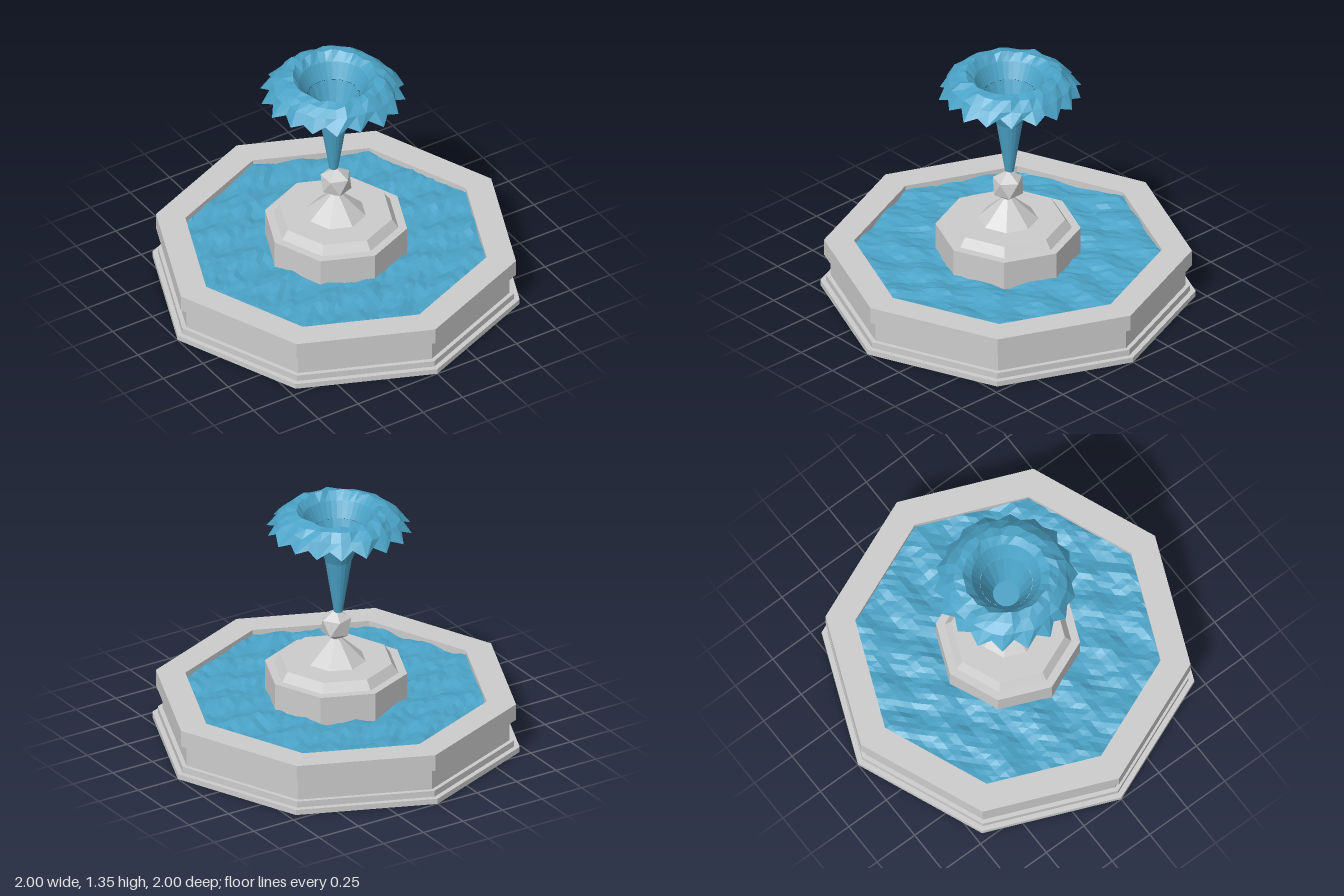
import * as THREE from 'three';

const stone = new THREE.MeshStandardMaterial({ color: 0xcccccc, flatShading: true });
const water = new THREE.MeshStandardMaterial({ color: 0x4ba3c7, flatShading: true, side: THREE.DoubleSide });

const lathe = (profile, sides) =>
  new THREE.LatheGeometry(profile.map(([r, y]) => new THREE.Vector2(r, y)), sides);

function addPart(group, name, geometry, material) {
  const flat = geometry.index ? geometry.toNonIndexed() : geometry;
  flat.computeVertexNormals();
  const mesh = new THREE.Mesh(flat, material);
  mesh.name = name;
  group.add(mesh);
  return mesh;
}

// Repeatable pseudo-random value in -1..1
function jitter(n) {
  const s = Math.sin(n * 127.1 + 3.7) * 43758.5453;
  return (s - Math.floor(s)) * 2 - 1;
}

// Rippled pool surface: a square grid drawn in to the octagonal basin wall
function poolGeometry(radius, level) {
  const n = 40;
  const geo = new THREE.PlaneGeometry(2 * radius, 2 * radius, n, n).rotateX(-Math.PI / 2);
  const pos = geo.attributes.position;
  const step = Math.PI / 4;
  for (let i = 0; i < pos.count; i++) {
    let x = pos.getX(i), z = pos.getZ(i);
    const angle = Math.atan2(z, x) + 2 * Math.PI;
    const limit = radius * Math.cos(step / 2) / Math.cos(angle % step - step / 2);
    const k = Math.min(1, limit / (Math.hypot(x, z) || 1));
    x *= k;
    z *= k;
    const wave = 0.008 * Math.sin(14 * x + 22 * z + 2 * Math.sin(5 * x))
      + 0.006 * Math.sin(25 * z - 9 * x + 1) + 0.006 * jitter(i);
    pos.setXYZ(i, x, level + wave, z);
  }
  return geo;
}

// Falling canopy of the jet: rings from the funnel over the crest to a toothed hem
function canopyGeometry(teeth) {
  const rings = [[0.14, 1.215], [0.185, 1.3], [0.225, 1.34], [0.275, 1.33], [0.325, 1.29], [0.37, 1.235]];
  const sides = teeth * 2;
  const geo = lathe(rings, sides);
  const pos = geo.attributes.position;
  for (let i = 0; i < pos.count; i++) {
    const ring = i % rings.length;
    const side = Math.floor(i / rings.length) % sides;
    if (ring < 2) continue;
    let [r, y] = rings[ring];
    const seed = side * 7 + ring;
    r += 0.01 * jitter(seed);
    y += 0.008 * jitter(seed + 500);
    if (ring === rings.length - 1) {
      r += side % 2 ? 0.015 : -0.018;
      y += side % 2 ? -0.015 : 0.015;
    }
    const a = side / sides * 2 * Math.PI;
    pos.setXYZ(i, r * Math.sin(a), y, r * Math.cos(a));
  }
  return geo;
}

export function createModel() {
  const fountain = new THREE.Group();
  fountain.name = 'fountain';

  // Octagonal basin with stepped foot, recessed wall and overhanging rim
  addPart(fountain, 'basin', lathe([
    [0, 0], [1, 0], [1, 0.03], [0.97, 0.03], [0.97, 0.065], [0.945, 0.065],
    [0.945, 0.188], [0.98, 0.188], [0.98, 0.28], [0.82, 0.28], [0.82, 0.15], [0, 0.15],
  ], 8), stone);

  addPart(fountain, 'poolWater', poolGeometry(0.825, 0.25), water);

  // Stepped pedestal
  addPart(fountain, 'pedestal', lathe([
    [0.387, 0.15], [0.387, 0.4], [0.34, 0.4], [0.305, 0.45], [0, 0.45],
  ], 8), stone);
  addPart(fountain, 'spoutCone', lathe([[0.162, 0.45], [0.03, 0.575], [0, 0.575]], 8), stone);

  // Faceted ball with one corner turned straight up
  const ball = new THREE.IcosahedronGeometry(0.092).rotateZ(-Math.atan(2 / (1 + Math.sqrt(5))));
  addPart(fountain, 'finialBall', ball, stone).position.y = 0.652;

  // Water jet: stem, inner floor and canopy
  const jet = new THREE.Group();
  jet.name = 'waterJet';
  addPart(jet, 'jetStem', lathe([[0.024, 0.735], [0.072, 1.04], [0.14, 1.215]], 18), water);
  addPart(jet, 'jetFloor', new THREE.CircleGeometry(0.072, 18).rotateX(-Math.PI / 2), water).position.y = 1.04;
  addPart(jet, 'jetCanopy', canopyGeometry(18), water);
  jet.position.set(-0.005, 0, -0.015);
  fountain.add(jet);

  return fountain;
}
